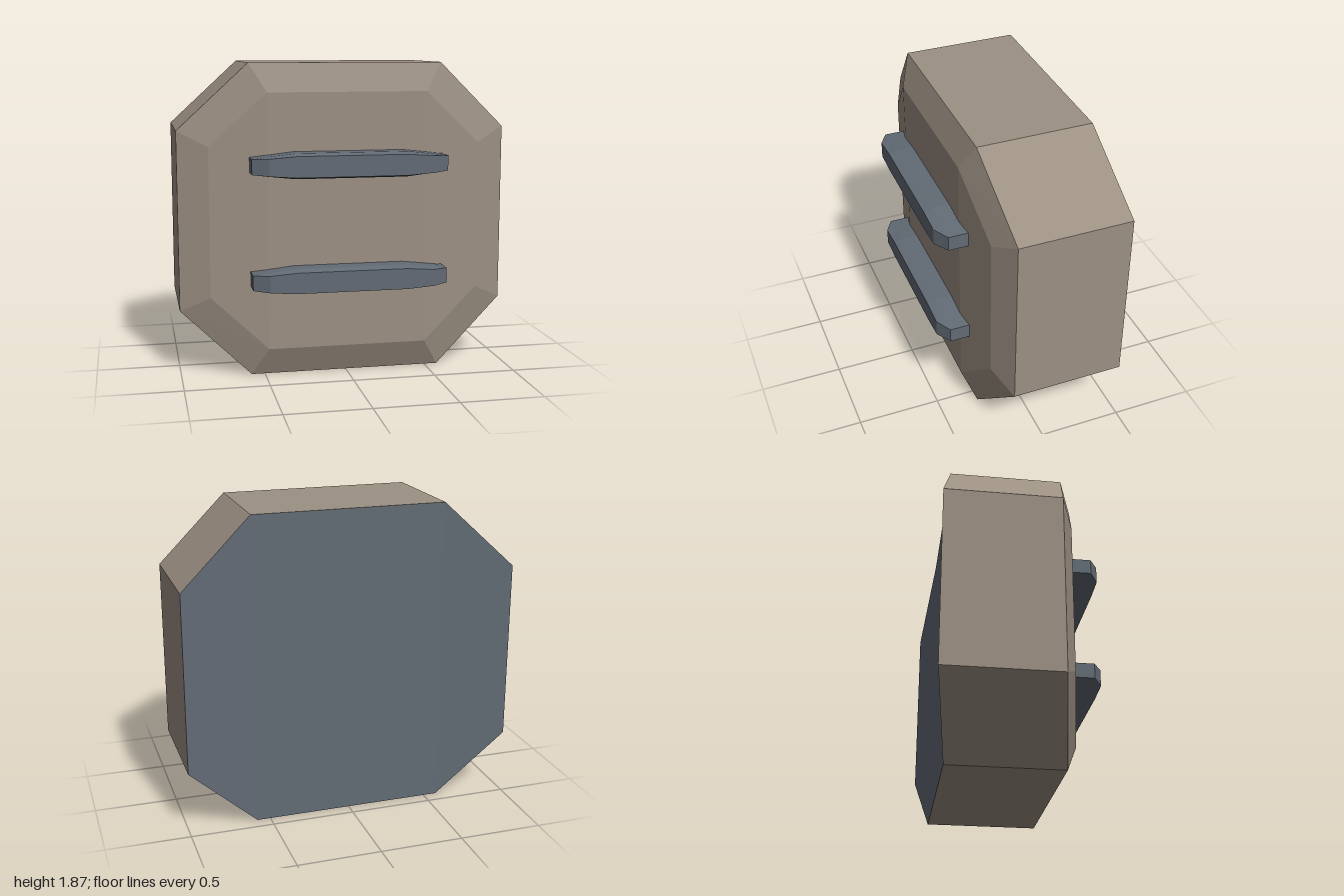
import * as THREE from 'three';

// Non-indexed flat geometry from a list of planar quads (each four Vector3, counter-clockwise)
function fromQuads(quads) {
  const points = quads.flatMap(([a, b, c, d]) => [a, b, c, a, c, d]);
  const geometry = new THREE.BufferGeometry().setFromPoints(points);
  geometry.computeVertexNormals();
  return geometry;
}

// Side walls between successive eight-point rings
function walls(rings) {
  const quads = [];
  for (let r = 0; r + 1 < rings.length; r++) {
    const a = rings[r], b = rings[r + 1];
    a.forEach((p, i) => {
      const j = (i + 1) % a.length;
      quads.push([p, a[j], b[j], b[i]]);
    });
  }
  return quads;
}

// Eight-point end cap: a middle strip and two side panels
function cap(ring, flip = false) {
  return [[0, 3, 4, 7], [0, 1, 2, 3], [4, 5, 6, 7]].map((ids) => {
    const quad = ids.map((i) => ring[i]);
    return flip ? quad.reverse() : quad;
  });
}

// Octagon whose left and right edges bend backwards
function octagon(xIn, xOut, edge, corner, zIn, zOut) {
  const mid = 0.935;
  const half = [
    [xIn, mid - edge, zIn], [xOut, mid - corner, zOut],
    [xOut, mid + corner, zOut], [xIn, mid + edge, zIn],
  ];
  const mirrored = half.map(([x, y, z]) => [-x, y, z]).reverse();
  return [...half, ...mirrored].map((p) => new THREE.Vector3(...p));
}

// Bar cross-section at x: widest in the middle, chamfered towards the front
function barRing(x, outer, inner, front) {
  return [
    [-inner, 0.3], [inner, 0.3], [outer, 0.33], [outer, 0.43],
    [inner, front], [-inner, front], [-outer, 0.43], [-outer, 0.33],
  ].map(([y, z]) => new THREE.Vector3(x, y, z));
}

export function createModel() {
  const model = new THREE.Group();
  model.name = 'armourPlate';
  const tan = new THREE.MeshStandardMaterial({ color: 0x9c9083, flatShading: true });
  tan.name = 'tan';
  const slate = new THREE.MeshStandardMaterial({ color: 0x626b75, flatShading: true });
  slate.name = 'slate';

  const add = (name, quads, material) => {
    const mesh = new THREE.Mesh(fromQuads(quads), material);
    mesh.name = name;
    model.add(mesh);
    return mesh;
  };

  // Bent octagonal shell with a bevelled front
  const back = octagon(0.58, 1, 0.935, 0.54, -0.42, -0.49);
  const rim = octagon(0.58, 1, 0.935, 0.54, 0.26, 0.19);
  const face = octagon(0.48, 0.82, 0.765, 0.45, 0.33, 0.27);
  add('shell', [...walls([back, rim, face]), ...cap(face)], tan);

  // Hollowed back panel
  add('backPanel', cap(back, true), slate);

  // Two tapered horizontal bars
  const rings = [
    [-0.585, 0.045, 0.045, 0.43], [-0.49, 0.057, 0.05, 0.485], [-0.33, 0.075, 0.062, 0.485],
    [0.33, 0.075, 0.062, 0.485], [0.49, 0.057, 0.05, 0.485], [0.585, 0.045, 0.045, 0.43],
  ].map((r) => barRing(...r));
  const barQuads = [...walls(rings), ...cap(rings[0], true), ...cap(rings[5])];
  for (const [name, y] of [['upperBar', 1.28], ['lowerBar', 0.6]]) {
    add(name, barQuads, slate).position.y = y;
  }
  return model;
}
